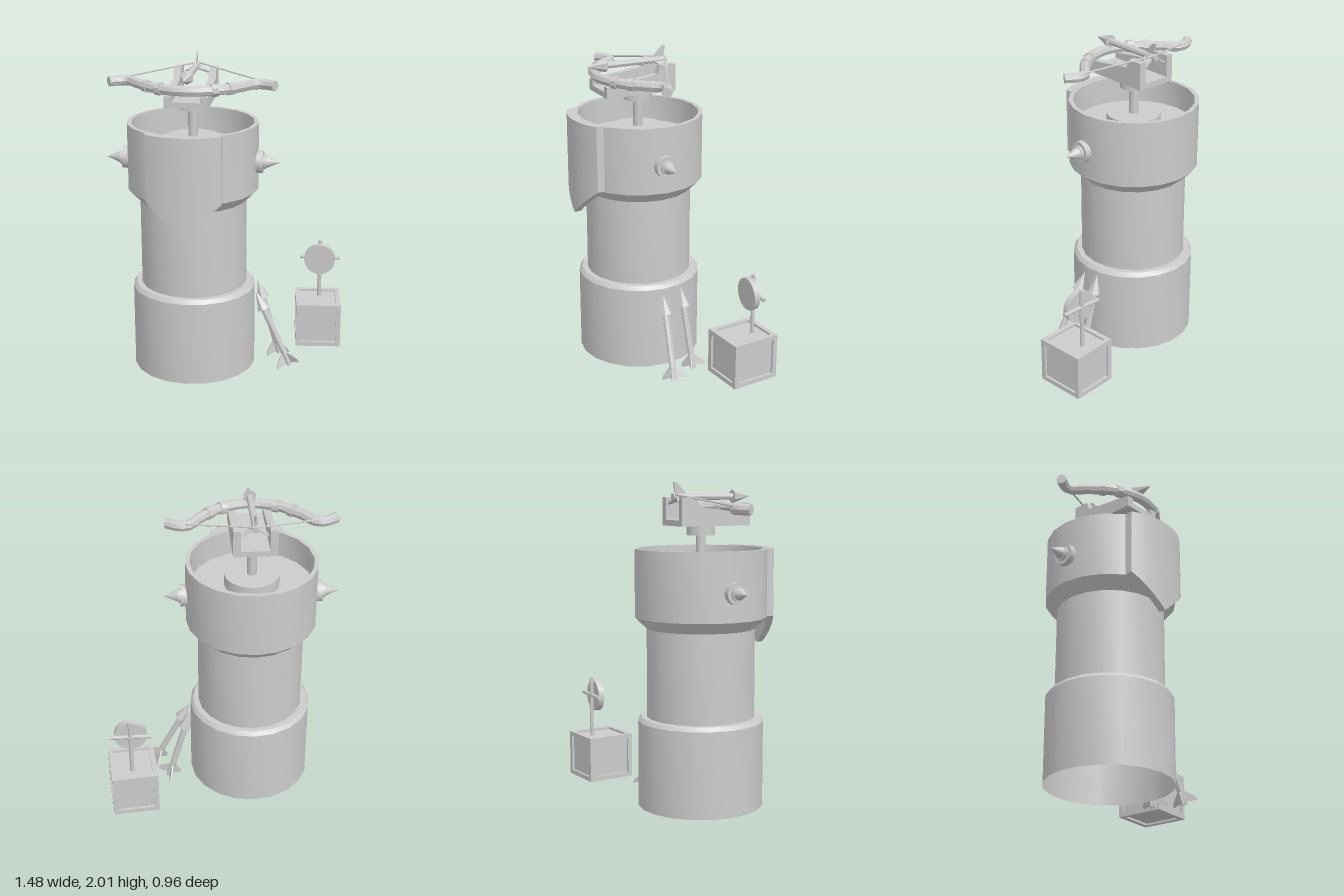
import * as THREE from 'three';
import { toCreasedNormals } from 'three/addons/utils/BufferGeometryUtils.js';

const V = (x, y, z) => new THREE.Vector3(x, y, z);
const UP = V(0, 1, 0);
const CX = -0.198, CZ = 0.033; // tower axis

export function createModel() {
  const model = new THREE.Group();
  const mat = new THREE.MeshStandardMaterial({ color: 0xcccccc, side: THREE.DoubleSide });

  function add(parent, name, geo, x = 0, y = 0, z = 0) {
    const mesh = new THREE.Mesh(toCreasedNormals(geo, 0.6), mat);
    mesh.name = name;
    mesh.position.set(x, y, z);
    parent.add(mesh);
    return mesh;
  }
  const group = (name, parent = model) => {
    const g = new THREE.Group();
    g.name = name;
    parent.add(g);
    return g;
  };
  const cyl = (r, h, n = 20) => new THREE.CylinderGeometry(r, r, h, n);
  // Cylinder between two points
  function rod(parent, name, a, b, r, n = 8) {
    const mesh = add(parent, name, cyl(r, a.distanceTo(b), n));
    mesh.position.copy(a).lerp(b, 0.5);
    mesh.quaternion.setFromUnitVectors(UP, b.clone().sub(a).normalize());
    return mesh;
  }

  // Tower: base, waist, flared top with rim and sunken floor
  const profile = [[0.39, 0.01], [0.39, 0.545], [0.37, 0.57], [0.335, 0.57], [0.335, 1.12],
    [0.407, 1.19], [0.407, 1.607], [0.38, 1.607], [0.38, 1.44], [0, 1.44]];
  add(model, 'tower', new THREE.LatheGeometry(profile.map(p => new THREE.Vector2(...p)), 20), CX, 0, CZ);

  // Curved pointed banner wrapped around the front
  add(model, 'banner', bannerGeometry(), CX, 0, CZ);

  // Side spikes
  for (const s of [-1, 1]) {
    const spike = group(s > 0 ? 'leftSpike' : 'rightSpike');
    spike.position.set(CX + s * 0.39, 1.365, 0.045);
    spike.rotation.z = -s * Math.PI / 2;
    add(spike, 'spikeCollar', cyl(0.069, 0.06, 16), 0, 0.018, 0);
    add(spike, 'spikeRing', cyl(0.045, 0.02, 16), 0, 0.055, 0);
    add(spike, 'spikeCone', new THREE.ConeGeometry(0.047, 0.11, 16), 0, 0.1, 0);
  }

  // Turntable
  add(model, 'turntable', cyl(0.17, 0.075), CX, 1.477, CZ);
  add(model, 'pivotPole', cyl(0.03, 0.25, 12), CX, 1.6, CZ);
  add(model, 'pivotCollar', cyl(0.088, 0.06, 16), CX, 1.717, CZ);

  // Stock: two stepped cheeks with a channel between
  const stock = group('stock');
  const cheek = new THREE.Shape([[-0.162, 1.745], [0.3, 1.745], [0.3, 1.815], [-0.04, 1.86],
    [-0.06, 1.915], [-0.162, 1.915]].map(p => new THREE.Vector2(...p)));
  const cheekGeo = new THREE.ExtrudeGeometry(cheek, { depth: 0.045, bevelEnabled: false });
  cheekGeo.rotateY(-Math.PI / 2);
  for (const s of [-1, 1]) add(stock, 'stockCheek', cheekGeo, CX + s * 0.109 + 0.0225, 0, 0);
  add(stock, 'stockBed', new THREE.BoxGeometry(0.175, 0.035, 0.462), CX, 1.7625, 0.069);

  // Recurved bow with wrapped grips
  const bow = group('bow');
  const half = [[0.505, 0.085], [0.45, 0.05], [0.39, 0.045], [0.31, 0.135], [0.175, 0.25]];
  const bowY = 1.85;
  const curve = new THREE.CatmullRomCurve3([
    ...half.map(([x, z]) => V(CX - x, bowY, z)), V(CX, bowY, 0.3),
    ...half.slice().reverse().map(([x, z]) => V(CX + x, bowY, z))]);
  add(bow, 'bowLimb', new THREE.TubeGeometry(curve, 36, 0.032, 8));
  for (const t of [0, 1]) {
    const p = curve.getPoint(t), d = curve.getTangent(t).multiplyScalar(0.004);
    rod(bow, 'bowTip', p.clone().sub(d), p.clone().add(d), 0.032);
  }
  for (const t of [0.27, 0.36, 0.64, 0.73]) {
    const p = curve.getPointAt(t), d = curve.getTangentAt(t).multiplyScalar(0.02);
    rod(bow, 'gripWrap', p.clone().sub(d), p.clone().add(d), 0.039);
  }
  for (const s of [-1, 1]) {
    rod(bow, 'bowString', V(CX + s * 0.4, 1.872, 0.025), V(CX, 1.935, -0.155), 0.006, 6);
  }

  // Arrows: one loaded, two leaning on the tower base
  const finShape = new THREE.Shape([[0, 0.1], [0.035, 0.075], [0.082, 0.03], [0.088, 0.005], [0, 0.02]]
    .map(p => new THREE.Vector2(...p)));
  const finGeo = new THREE.ExtrudeGeometry(finShape, { depth: 0.01, bevelEnabled: false });
  finGeo.translate(0, 0, -0.005);
  function arrow(name, tail, tip) {
    const g = group(name);
    g.position.copy(tail);
    g.quaternion.setFromUnitVectors(UP, tip.clone().sub(tail).normalize());
    add(g, 'shaft', cyl(0.021, 0.43, 8), 0, 0.215, 0);
    add(g, 'head', new THREE.ConeGeometry(0.043, 0.125, 6), 0, 0.472, 0);
    for (let i = 0; i < 3; i++) {
      add(g, 'fletching', finGeo).rotation.y = Math.PI / 2 + i * Math.PI * 2 / 3;
    }
  }
  arrow('loadedArrow', V(CX, 1.92, -0.16), V(CX, 1.92, 0.375));
  arrow('leaningArrow', V(0.43, 0.025, 0.09), V(0.2, 0.505, 0.053));
  arrow('leaningArrow', V(0.345, 0.025, -0.09), V(0.205, 0.52, -0.07));

  // Crate: recessed panels inside a frame of twelve bars
  const crate = group('crate');
  crate.position.set(0.58, 0.195, -0.31);
  crate.rotation.y = 0.097;
  const size = [0.292, 0.29, 0.314], bar = 0.03;
  add(crate, 'cratePanels', new THREE.BoxGeometry(...size.map(v => v - 0.03)));
  for (let axis = 0; axis < 3; axis++) {
    for (const s of [-1, 1]) for (const t of [-1, 1]) {
      const dim = [bar, bar, bar], pos = [0, 0, 0];
      const b = (axis + 1) % 3, c = (axis + 2) % 3;
      dim[axis] = size[axis];
      pos[b] = s * (size[b] - bar) / 2;
      pos[c] = t * (size[c] - bar) / 2;
      add(crate, 'crateFrame', new THREE.BoxGeometry(...dim), ...pos);
    }
  }

  // Round target on a post with a crossbar
  const target = group('target');
  rod(target, 'targetPost', V(0.584, 0.32, -0.372), V(0.584, 0.718, -0.372), 0.013);
  rod(target, 'targetCrossbar', V(0.453, 0.6, -0.372), V(0.718, 0.6, -0.372), 0.013);
  rod(target, 'targetDisc', V(0.584, 0.597, -0.362), V(0.584, 0.597, -0.324), 0.102, 24);

  return model;
}

// Curved plate swept from a four-corner section across its width
function bannerGeometry() {
  const N = 12, W = 0.228, pos = [], index = [];
  for (let i = 0; i <= N; i++) {
    const k = (i / N) * 2 - 1, x = k * W;
    const low = 1.005 + Math.abs(k) * 0.19;
    const zo = Math.sqrt(0.445 ** 2 - x * x), zi = Math.sqrt(0.4 ** 2 - x * x);
    pos.push(x, 1.61, zo, x, low, zo, x, low, zi, x, 1.61, zi);
  }
  for (let i = 0; i < N; i++) {
    for (let j = 0; j < 4; j++) {
      const a = i * 4 + j, b = i * 4 + (j + 1) % 4;
      index.push(a, b, b + 4, a, b + 4, a + 4);
    }
  }
  const e = N * 4;
  index.push(0, 3, 2, 0, 2, 1, e, e + 1, e + 2, e, e + 2, e + 3);
  const geo = new THREE.BufferGeometry();
  geo.setAttribute('position', new THREE.Float32BufferAttribute(pos, 3));
  geo.setIndex(index);
  return geo;
}
